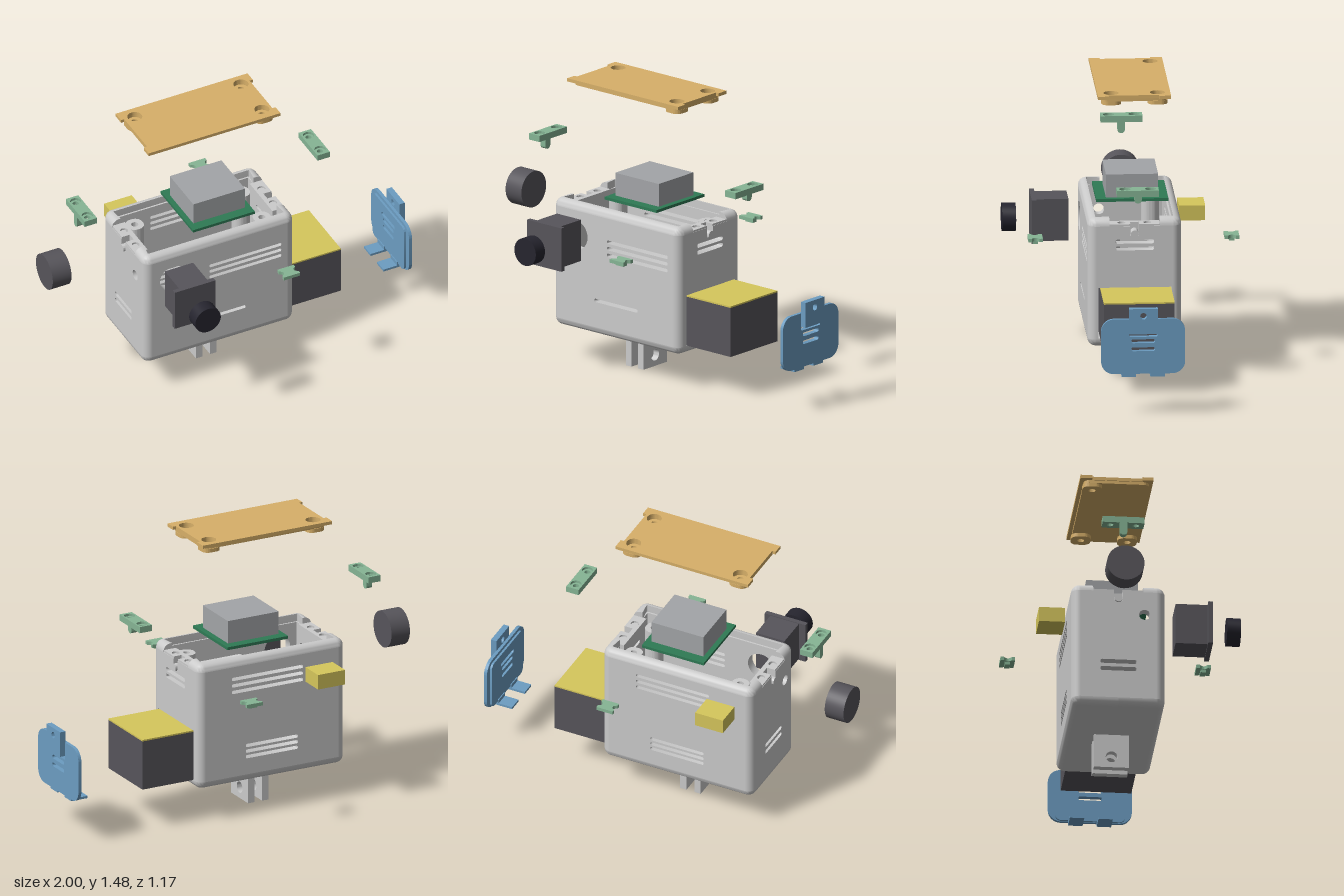
import * as THREE from 'three';
import { toCreasedNormals } from 'three/addons/utils/BufferGeometryUtils.js';

const mat = (color) => new THREE.MeshStandardMaterial({ color, side: THREE.DoubleSide });
const grey = mat(0xcccccc), dark = mat(0x57555b), black = mat(0x26252f), steel = mat(0xa3a5a8);
const green = mat(0x86b595), boardGreen = mat(0x2f7a55), blue = mat(0x6c9dc2);
const gold = mat(0xd8b069), yellow = mat(0xd6c75c);

// case outline
const CX = -0.131, CZ = -0.0475, HX = 0.425, HZ = 0.2375, R = 0.045, T = 0.05;
const Y0 = 0.18, Y1 = 0.85, F = 0.04;

function add(parent, name, geometry, material, x = 0, y = 0, z = 0) {
  const m = new THREE.Mesh(geometry, material);
  m.name = name;
  m.position.set(x, y, z);
  parent.add(m);
  return m;
}
// box from its min and max on each axis
function box(parent, name, material, x0, x1, y0, y1, z0, z1) {
  return add(parent, name, new THREE.BoxGeometry(x1 - x0, y1 - y0, z1 - z0), material,
    (x0 + x1) / 2, (y0 + y1) / 2, (z0 + z1) / 2);
}
function cylinder(parent, name, material, r, length, axis, x, y, z) {
  const g = toCreasedNormals(new THREE.CylinderGeometry(r, r, length, 40), 0.6);
  if (axis === 'x') g.rotateZ(Math.PI / 2);
  if (axis === 'z') g.rotateX(Math.PI / 2);
  return add(parent, name, g, material, x, y, z);
}
const poly = (pts) => new THREE.Shape(pts.map((p) => new THREE.Vector2(p[0], p[1])));
const rect = (a, b, c, d) => poly([[a, c], [b, c], [b, d], [a, d]]);
const circle = (x, y, r) => new THREE.Path().absarc(x, y, r, 0, Math.PI * 2, true);
function rounded(a, b, c, d, r) {
  const s = new THREE.Shape();
  s.absarc(b - r, d - r, r, 0, Math.PI / 2);
  s.absarc(a + r, d - r, r, Math.PI / 2, Math.PI);
  s.absarc(a + r, c + r, r, Math.PI, Math.PI * 1.5);
  s.absarc(b - r, c + r, r, Math.PI * 1.5, Math.PI * 2);
  return s;
}
const slot = (a, b, y, h = 0.018) => rounded(a, b, y - h / 2, y + h / 2, h * 0.45);
function extrude(shape, holes, depth) {
  shape.holes.push(...holes);
  return toCreasedNormals(new THREE.ExtrudeGeometry(shape, { depth, bevelEnabled: false, curveSegments: 12 }), 0.6);
}
// flat plate drawn in (x, -z), lifted from y by h
const plate = (parent, name, material, shape, holes, y, h, x = 0, z = 0) =>
  add(parent, name, extrude(shape, holes, h).rotateX(-Math.PI / 2), material, x, y, z);
// upright plate drawn in (z, y), growing towards -x from x
const sidePlate = (parent, name, material, shape, holes, x, depth) =>
  add(parent, name, extrude(shape, holes, depth).rotateY(-Math.PI / 2), material, x, 0, 0);

// half of the case outline swept through a profile of [inset, y]; zn is where it ends on the sides
function halfRing(profile, zn, capped) {
  const rows = profile.map(([inset, y]) => {
    const r = Math.max(R - inset, 0.004), row = [[HX - inset, y, zn]];
    for (let k = 0; k <= 1; k++) {
      for (let i = 0; i <= 8; i++) {
        const a = (k * 8 + i) / 8 * Math.PI / 2;
        row.push([(k ? -1 : 1) * (HX - R) + r * Math.cos(a), y, HZ - R + r * Math.sin(a)]);
      }
    }
    row.push([inset - HX, y, zn]);
    return row;
  });
  const pos = [];
  for (let j = 0; j < rows.length - 1; j++) {
    for (let i = 0; i < rows[0].length - 1; i++) {
      const a = rows[j][i], b = rows[j + 1][i], c = rows[j + 1][i + 1], d = rows[j][i + 1];
      pos.push(...a, ...b, ...c, ...a, ...c, ...d);
    }
  }
  if (capped) {
    for (const end of [0, rows[0].length - 1]) {
      for (let j = 1; j < rows.length - 1; j++) pos.push(...rows[0][end], ...rows[j + 1][end], ...rows[j][end]);
    }
  }
  const g = new THREE.BufferGeometry();
  g.setAttribute('position', new THREE.Float32BufferAttribute(pos, 3));
  return toCreasedNormals(g, 0.6);
}

const LID_SCREWS = [[-0.43, -0.17], [0.17, -0.17], [0.17, 0.065]];

function buildCase(parent) {
  const g = new THREE.Group();
  g.name = 'case';
  parent.add(g);
  const x0 = CX - HX, x1 = CX + HX, z0 = CZ - HZ, z1 = CZ + HZ, lo = Y0 + F, hi = Y1 - F;

  // front and back walls
  const front = rect(x0 + R, x1 - R, lo, hi), back = rect(x0 + R, x1 - R, lo, hi);
  add(g, 'frontWall', extrude(front, [circle(-0.395, 0.682, 0.075), slot(-0.275, 0.015, 0.362),
    ...[0.687, 0.652, 0.617].map((y) => slot(-0.19, 0.217, y))], T), grey, 0, 0, z1 - T);
  add(g, 'backWall', extrude(back, [...[0.745, 0.71, 0.675].map((y) => slot(-0.31, 0.1, y)),
    ...[0.375, 0.345, 0.315].map((y) => slot(-0.28, 0.02, y))], T), grey, 0, 0, z0);

  // side walls, notched at the top for the clip pegs
  const side = () => poly([[z0 + R, lo], [z1 - R, lo], [z1 - R, hi], [CZ + 0.022, hi], [CZ + 0.022, 0.76],
    [CZ - 0.022, 0.76], [CZ - 0.022, hi], [z0 + R, hi]]);
  sidePlate(g, 'leftWall', grey, side(), [rect(-0.236, 0.135, 0.225, 0.49),
    slot(-0.145, 0.05, 0.73, 0.022), slot(-0.145, 0.05, 0.695, 0.022)], x1, T);
  sidePlate(g, 'rightWall', grey, side(), [circle(0.085, 0.685, 0.028),
    slot(-0.14, 0.045, 0.42, 0.022), slot(-0.14, 0.045, 0.38, 0.022)], x0 + T, T);

  // rounded upright corners
  [[1, 1], [1, -1], [-1, -1], [-1, 1]].forEach(([sx, sz], i) => {
    add(g, 'corner', new THREE.CylinderGeometry(R, R, hi - lo, 8, 1, true, i * Math.PI / 2, Math.PI / 2),
      grey, CX + sx * (HX - R), (lo + hi) / 2, CZ + sz * (HZ - R));
  });

  // rounded bottom edge and top rim, each in two halves
  const bottom = [], rim = [];
  for (let i = 0; i <= 6; i++) {
    const a = i / 6 * Math.PI / 2, s = F * (1 - Math.cos(a)), h = F * Math.sin(a);
    bottom.unshift([s, lo - h]);
    rim.push([s, hi + h]);
  }
  rim.push([T, Y1], [T, hi]);
  for (const turn of [0, Math.PI]) {
    add(g, 'bottomEdge', halfRing(bottom, 0, false), grey, CX, 0, CZ).rotation.y = turn;
    add(g, 'topRim', halfRing(rim, 0.1275, true), grey, CX, 0, CZ).rotation.y = turn;
  }
  box(g, 'floor', grey, x0 + F, x1 - F, Y0, Y0 + 0.045, z0 + F, z1 - F);

  // clip seats with screw holes and a peg
  for (const s of [1, -1]) {
    const w = HX - 0.002, n = 0.022;
    const seat = poly([[s * (w - 0.07), -0.1275], [s * w, -0.1275], [s * w, -n], [s * (w - 0.045), -n],
      [s * (w - 0.045), n], [s * w, n], [s * w, 0.1275], [s * (w - 0.07), 0.1275]]);
    plate(g, 'clipSeat', grey, seat, [circle(s * (w - 0.035), 0.065, 0.02), circle(s * (w - 0.035), -0.065, 0.02)],
      0.74, 0.08, CX, CZ);
    cylinder(g, 'clipPeg', grey, 0.02, 0.06, 'x', CX + s * (HX - 0.02), 0.77, CZ);
  }

  // lid screw posts
  for (const [x, z] of LID_SCREWS) {
    plate(g, 'screwPost', grey, rounded(-0.045, 0.045, -0.045, 0.045, 0.04), [circle(0, 0, 0.018)], 0.55, 0.24, x, z);
  }
  // mounting prongs
  for (const x of [-0.155, -0.075]) {
    sidePlate(g, 'mountProng', grey, rect(-0.137, 0.042, 0, 0.19), [circle(CZ, 0.058, 0.03)], x, 0.036);
  }
}

// screw clip: plate with two counterbored holes and a rounded tongue
function buildClip(parent, x, y, s) {
  const g = new THREE.Group();
  g.name = 'clip';
  parent.add(g);
  const layer = (r) => [circle(0, -0.065, r), circle(0, 0.065, r)];
  plate(g, 'clipTop', green, rect(-0.035, 0.035, -0.106, 0.106), layer(0.028), y - 0.013, 0.013, x, CZ);
  plate(g, 'clipBase', green, rect(-0.035, 0.035, -0.106, 0.106), layer(0.016), y - 0.033, 0.02, x, CZ);
  const tx = x + s * 0.018;
  box(g, 'clipTongue', green, tx - 0.016, tx + 0.016, 1.018, y - 0.03, CZ - 0.019, CZ + 0.019);
  cylinder(g, 'clipTongueEnd', green, 0.019, 0.032, 'x', tx, 1.019, CZ);
}

export function createModel() {
  const g = new THREE.Group();
  g.name = 'explodedCameraCase';
  buildCase(g);
  buildClip(g, -0.793, 1.1, -1);
  buildClip(g, 0.523, 1.067, 1);

  // lid with three sunken screw bosses
  const outline = [[-0.505, -0.135], [0.24, -0.135], [0.24, -0.08], [0.222, -0.08], [0.222, 0.175], [0.24, 0.175],
    [0.24, 0.235], [-0.505, 0.235], [-0.505, 0.175], [-0.487, 0.175], [-0.487, -0.08], [-0.505, -0.08]];
  const dishes = () => LID_SCREWS.map(([x, z]) => circle(x, -z, 0.038));
  plate(g, 'lidTop', gold, poly(outline), dishes(), 1.458, 0.017);
  plate(g, 'lidUnderside', gold, rounded(-0.482, 0.218, -0.117, 0.215, 0.03), dishes(), 1.443, 0.015);
  for (const [x, z] of LID_SCREWS) {
    plate(g, 'lidBoss', gold, rounded(-0.05, 0.05, -0.05, 0.05, 0.035), [circle(0, 0, 0.018)], 1.424, 0.02, x, z);
  }

  // circuit board with its block
  box(g, 'circuitBoard', boardGreen, -0.254, 0.095, 0.885, 0.9, -0.23, 0.135);
  box(g, 'boardBlock', steel, -0.227, 0.065, 0.9, 1.02, -0.18, 0.084);

  // battery, half slid out
  box(g, 'battery', dark, 0.05, 0.585, 0.222, 0.481, -0.231, 0.127);
  box(g, 'batteryLabel', yellow, 0.05, 0.585, 0.481, 0.489, -0.231, 0.127);

  // camera module and lens
  box(g, 'cameraBarrel', dark, -0.472, -0.312, 0.575, 0.793, 0.25, 0.415);
  box(g, 'cameraPlate', dark, -0.51, -0.28, 0.568, 0.797, 0.413, 0.437);
  cylinder(g, 'lens', black, 0.072, 0.07, 'z', -0.395, 0.682, 0.548);

  // loose side cylinder and small block
  cylinder(g, 'microphone', dark, 0.095, 0.106, 'x', -0.947, 0.765, -0.053);
  box(g, 'smallBlock', yellow, -0.466, -0.31, 0.67, 0.748, -0.442, -0.31);

  // waisted buttons ahead of and behind the case
  for (const z of [0.446, -0.547]) {
    const s = new THREE.Shape();
    s.moveTo(-0.046, -0.037).lineTo(0.046, -0.037).lineTo(0.046, -0.02);
    s.quadraticCurveTo(0.01, 0, 0.046, 0.02).lineTo(0.046, 0.037).lineTo(-0.046, 0.037).lineTo(-0.046, 0.02);
    s.quadraticCurveTo(-0.01, 0, -0.046, -0.02);
    plate(g, 'button', green, s, [], 0.702, 0.018, 0.13, z);
    box(g, 'buttonStem', green, 0.105, 0.155, 0.688, 0.703, z - 0.014, z + 0.014);
  }

  // battery door with latch tab and feet
  const door = new THREE.Group();
  door.name = 'batteryDoor';
  g.add(door);
  const vents = () => [[0.425, 0.073], [0.392, 0.06], [0.35, 0.06]].map(([y, w]) => slot(CZ - w, CZ + w, y, 0.02));
  sidePlate(door, 'doorPanel', blue, rounded(-0.26, 0.165, 0.222, 0.508, 0.065), vents(), 0.969, 0.017);
  sidePlate(door, 'doorInset', blue, rounded(-0.225, 0.13, 0.225, 0.49, 0.03), vents(), 0.953, 0.012);
  sidePlate(door, 'doorTab', blue, rect(-0.12, 0.025, 0.436, 0.568), [circle(CZ, 0.53, 0.017)], 0.998, 0.031);
  for (const z of [-0.158, -0.013 + 0.0]) {
    box(door, 'doorFoot', blue, 0.86, 0.948, 0.202, 0.214, z, z + 0.073);
    box(door, 'doorFootRoot', blue, 0.936, 0.955, 0.202, 0.235, z, z + 0.073);
  }
  return g;
}
